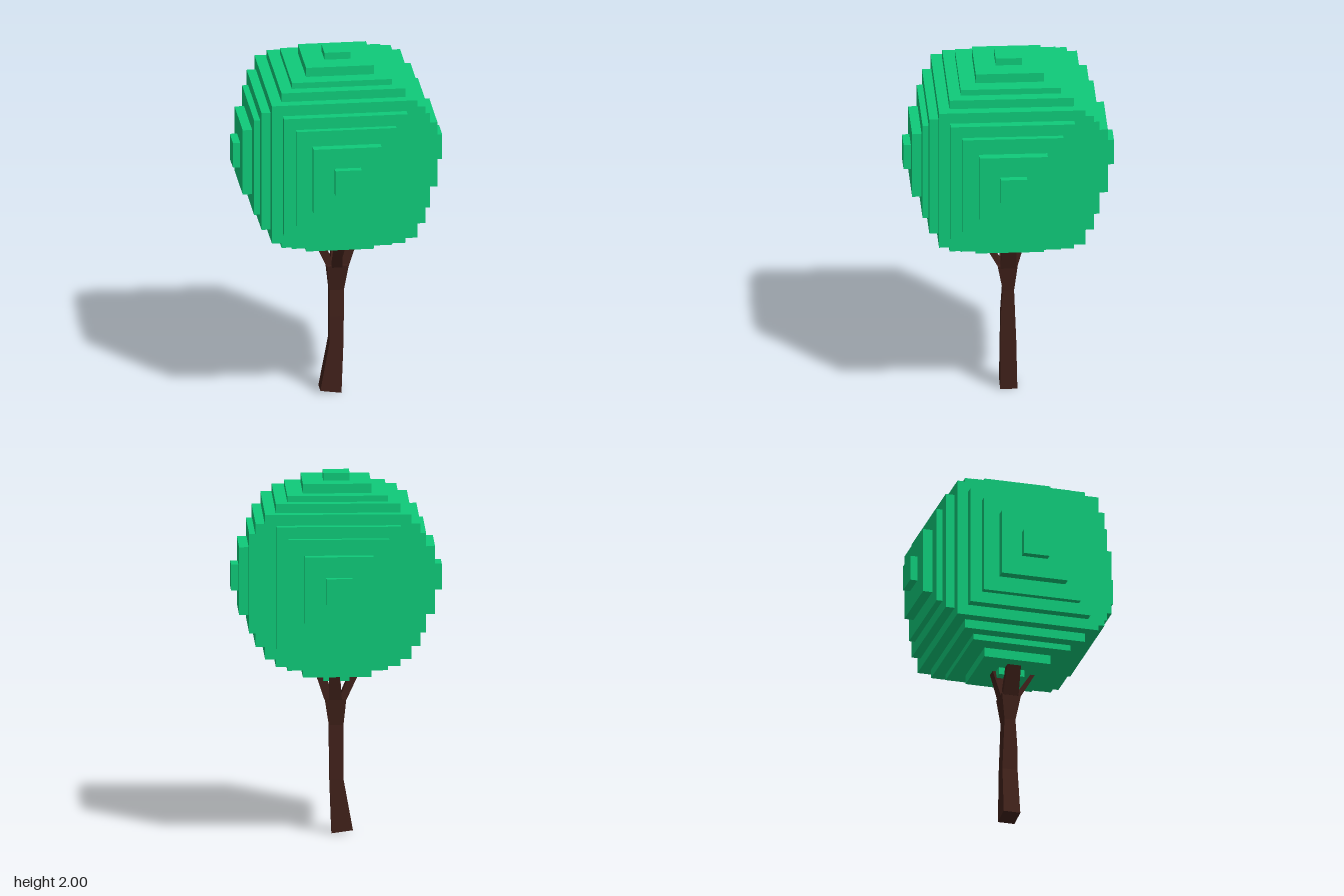
import * as THREE from 'three';

// Four-sided lofted limb; each ring is [cx, cy, cz, halfX, halfZ, tilt]
function limb(name, rings, material) {
  const signs = [[-1, 1], [1, 1], [1, -1], [-1, -1]];
  const pts = rings.map(([cx, cy, cz, hx, hz, tilt = 0]) =>
    signs.map(([sx, sz]) => [cx + sx * hx, cy - sx * tilt, cz + sz * hz]));
  const pos = [];
  const quad = (a, b, c, d) => pos.push(...a, ...b, ...c, ...a, ...c, ...d);
  for (let r = 0; r < pts.length - 1; r++) {
    for (let i = 0; i < 4; i++) {
      const j = (i + 1) % 4;
      quad(pts[r][i], pts[r][j], pts[r + 1][j], pts[r + 1][i]);
    }
  }
  quad(...[...pts[0]].reverse());
  quad(...pts[pts.length - 1]);
  const geo = new THREE.BufferGeometry();
  geo.setAttribute('position', new THREE.Float32BufferAttribute(pos, 3));
  geo.computeVertexNormals();
  const mesh = new THREE.Mesh(geo, material);
  mesh.name = name;
  return mesh;
}

export function createModel() {
  const tree = new THREE.Group();
  tree.name = 'tree';
  const bark = new THREE.MeshStandardMaterial({ color: 0x40211a, flatShading: true });
  const leaf = new THREE.MeshStandardMaterial({ color: 0x0fca79, flatShading: true });

  // Bent trunk, flaring where it forks
  tree.add(limb('trunk', [
    [-0.033, 0.012, -0.003, 0.058, 0.047, 0.008],
    [-0.002, 0.30, 0, 0.038, 0.043],
    [-0.001, 0.45, 0.002, 0.039, 0.039],
    [0, 0.60, 0, 0.04, 0.031],
    [0.004, 0.75, 0.005, 0.059, 0.054],
  ], bark));

  // Branches reaching into the foliage
  const branches = {
    rightBranch: [[-0.034, 0.74, 0, 0.021, 0.044], [-0.105, 0.90, 0, 0.025, 0.038], [-0.14, 0.98, 0, 0.022, 0.032]],
    leftBranch: [[0.04, 0.74, 0, 0.024, 0.044], [0.09, 0.90, 0, 0.028, 0.038], [0.115, 0.98, 0, 0.024, 0.032]],
    frontBranch: [[0, 0.74, 0.04, 0.03, 0.018], [-0.004, 0.90, 0.138, 0.022, 0.012], [-0.006, 0.98, 0.185, 0.018, 0.01]],
    backBranch: [[0.004, 0.74, -0.025, 0.035, 0.024], [0.012, 0.90, -0.07, 0.028, 0.024], [0.016, 0.98, -0.092, 0.024, 0.02]],
  };
  for (const [name, rings] of Object.entries(branches)) tree.add(limb(name, rings, bark));

  // Stepped foliage: a cube with smaller slabs stacked on all six sides
  const foliage = new THREE.Group();
  foliage.name = 'foliage';
  foliage.position.y = 1.425;
  const addBox = (name, size) => {
    const mesh = new THREE.Mesh(new THREE.BoxGeometry(...size), leaf);
    mesh.name = name;
    foliage.add(mesh);
  };
  addBox('foliageCore', [0.8, 0.8, 0.8]);
  const steps = [[0.34, 0.45], [0.275, 0.483], [0.187, 0.535], [0.072, 0.575]];
  for (const [half, reach] of steps) {
    for (let axis = 0; axis < 3; axis++) {
      const size = [half * 2, half * 2, half * 2];
      size[axis] = reach * 2;
      addBox('foliageStep', size);
    }
  }
  tree.add(foliage);
  return tree;
}
